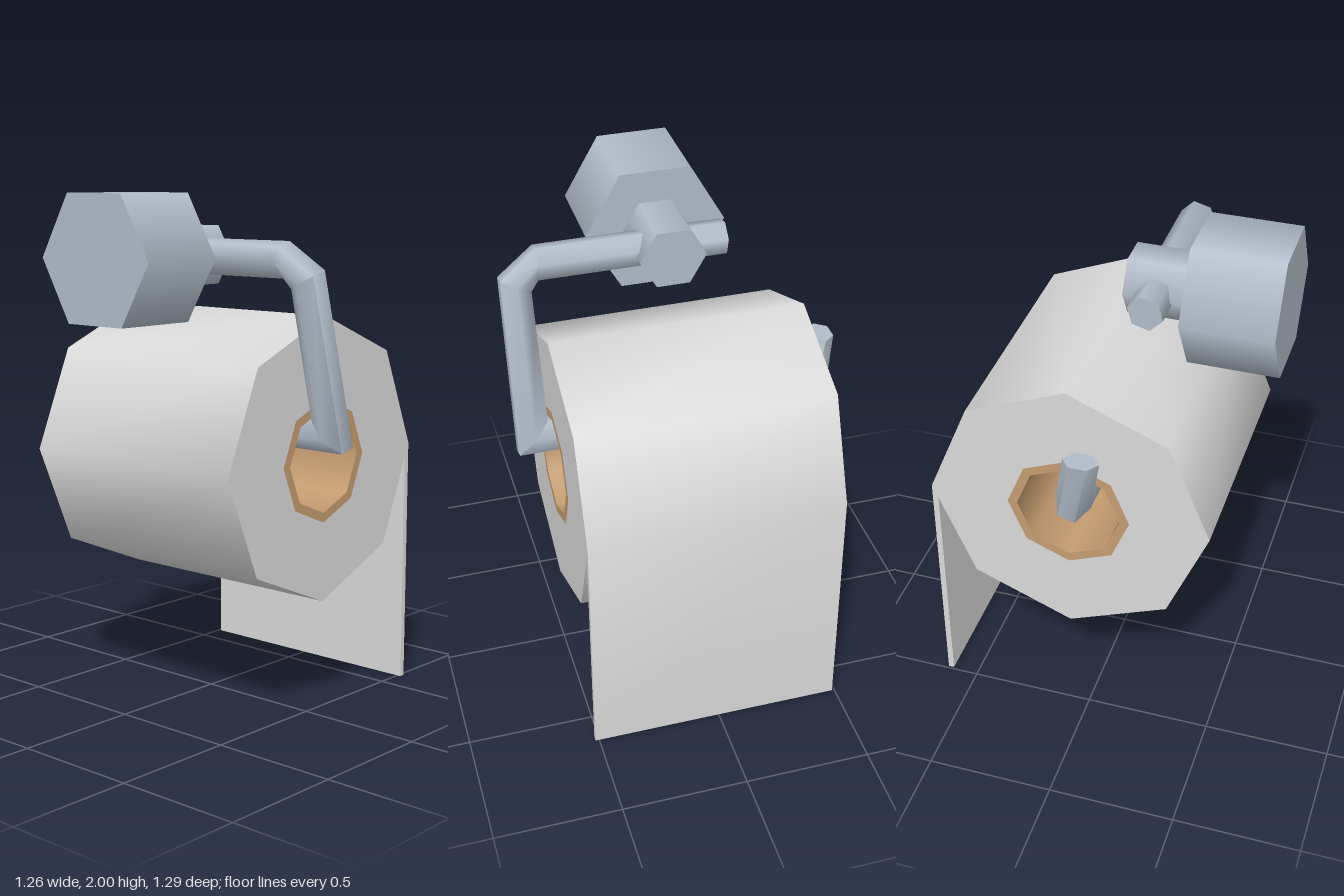
import * as THREE from 'three';
import { toCreasedNormals } from 'three/addons/utils/BufferGeometryUtils.js';

const metal = new THREE.MeshStandardMaterial({ color: 0xb0bcc8 });
metal.name = 'brushed metal';
const paper = new THREE.MeshStandardMaterial({ color: 0xd9d9d9 });
paper.name = 'paper';
const card = new THREE.MeshStandardMaterial({ color: 0xc49c70 });
card.name = 'cardboard';

const ROLL = { x: 0.075, y: 0.987, back: -0.49, front: 0.515 };

function part(name, geometry, material) {
  const mesh = new THREE.Mesh(geometry, material);
  mesh.name = name;
  return mesh;
}

// Corners of an octagon around the roll's axis
function octagon(r) {
  return Array.from({ length: 8 }, (_, i) => {
    const t = (i * Math.PI) / 4;
    return new THREE.Vector2(ROLL.x + r * Math.cos(t), ROLL.y + r * Math.sin(t));
  });
}

// Extrudes an outline with an octagonal hole over the roll's length
function rollGeometry(outline, holeRadius) {
  const shape = new THREE.Shape(outline);
  shape.holes.push(new THREE.Path(octagon(holeRadius)));
  const g = new THREE.ExtrudeGeometry(shape, { depth: ROLL.front - ROLL.back, bevelEnabled: false });
  g.translate(0, 0, ROLL.back);
  return toCreasedNormals(g, 0.9);
}

// Six-sided cylinder lying along x
function hexBar(x0, x1, r) {
  const g = new THREE.CylinderGeometry(r, r, x1 - x0, 6);
  g.rotateZ(Math.PI / 2);
  g.translate((x0 + x1) / 2, 1.76, 0);
  return g;
}

// Bent hexagonal rod through mitred cross-sections
function rodGeometry() {
  const tilt = Math.PI / 12, r = 0.07;
  const side = new THREE.Vector3(Math.cos(tilt), Math.sin(tilt), 0).multiplyScalar(r);
  const up = new THREE.Vector3(-Math.sin(tilt), Math.cos(tilt), 0);
  // centre, then the section's second axis as amounts along up and z
  const sections = [
    [-0.147, 1.76, -0.232, r, 0],
    [-0.147, 1.76, 0.504, r, 0],
    [-0.128, 1.69, 0.59, 0.032, 0.065],
    [0.03, 1.102, 0.587, -r, r],
    [0.03, 1.102, -0.55, -r, -0.05],
    [-0.019, 1.335, -0.6, 0, -0.052],
  ];
  const rings = sections.map(([x, y, z, a, b], i) => {
    const u = i === sections.length - 1 ? new THREE.Vector3(r, 0, 0) : side;
    const v = up.clone().multiplyScalar(a).add(new THREE.Vector3(0, 0, b));
    return Array.from({ length: 6 }, (_, k) => {
      const t = (k * Math.PI) / 3;
      return new THREE.Vector3(x, y, z).addScaledVector(u, Math.cos(t)).addScaledVector(v, Math.sin(t));
    });
  });
  const pos = [];
  const tri = (...corners) => corners.forEach((p) => pos.push(p.x, p.y, p.z));
  for (let i = 0; i < rings.length - 1; i++) {
    for (let k = 0; k < 6; k++) {
      const n = (k + 1) % 6;
      tri(rings[i][k], rings[i][n], rings[i + 1][n]);
      tri(rings[i][k], rings[i + 1][n], rings[i + 1][k]);
    }
  }
  // end caps
  const first = rings[0], last = rings[rings.length - 1];
  for (let k = 1; k < 5; k++) {
    tri(first[0], first[k + 1], first[k]);
    tri(last[0], last[k], last[k + 1]);
  }
  const g = new THREE.BufferGeometry();
  g.setAttribute('position', new THREE.Float32BufferAttribute(pos, 3));
  g.computeVertexNormals();
  return toCreasedNormals(g, 1.2);
}

export function createModel() {
  const model = new THREE.Group();
  model.name = 'toiletRollHolder';

  // Wall mount and the rod it carries
  model.add(part('wallMount', hexBar(-0.635, -0.283, 0.278), metal));
  model.add(part('mountStem', hexBar(-0.283, -0.03, 0.13), metal));
  model.add(part('bentRod', rodGeometry(), metal));

  // Paper roll with its sheet hanging from the left corner
  const outline = octagon(0.555);
  const edge = outline[0].x, inner = edge - 0.023;
  outline.splice(1, 0);
  const sheet = [
    new THREE.Vector2(inner, ROLL.y - 0.0555),
    new THREE.Vector2(inner, 0),
    new THREE.Vector2(edge, 0),
  ];
  model.add(part('paperRoll', rollGeometry([...outline, ...sheet], 0.243), paper));

  // Cardboard tube
  model.add(part('cardboardCore', rollGeometry(octagon(0.243), 0.205), card));
  return model;
}
